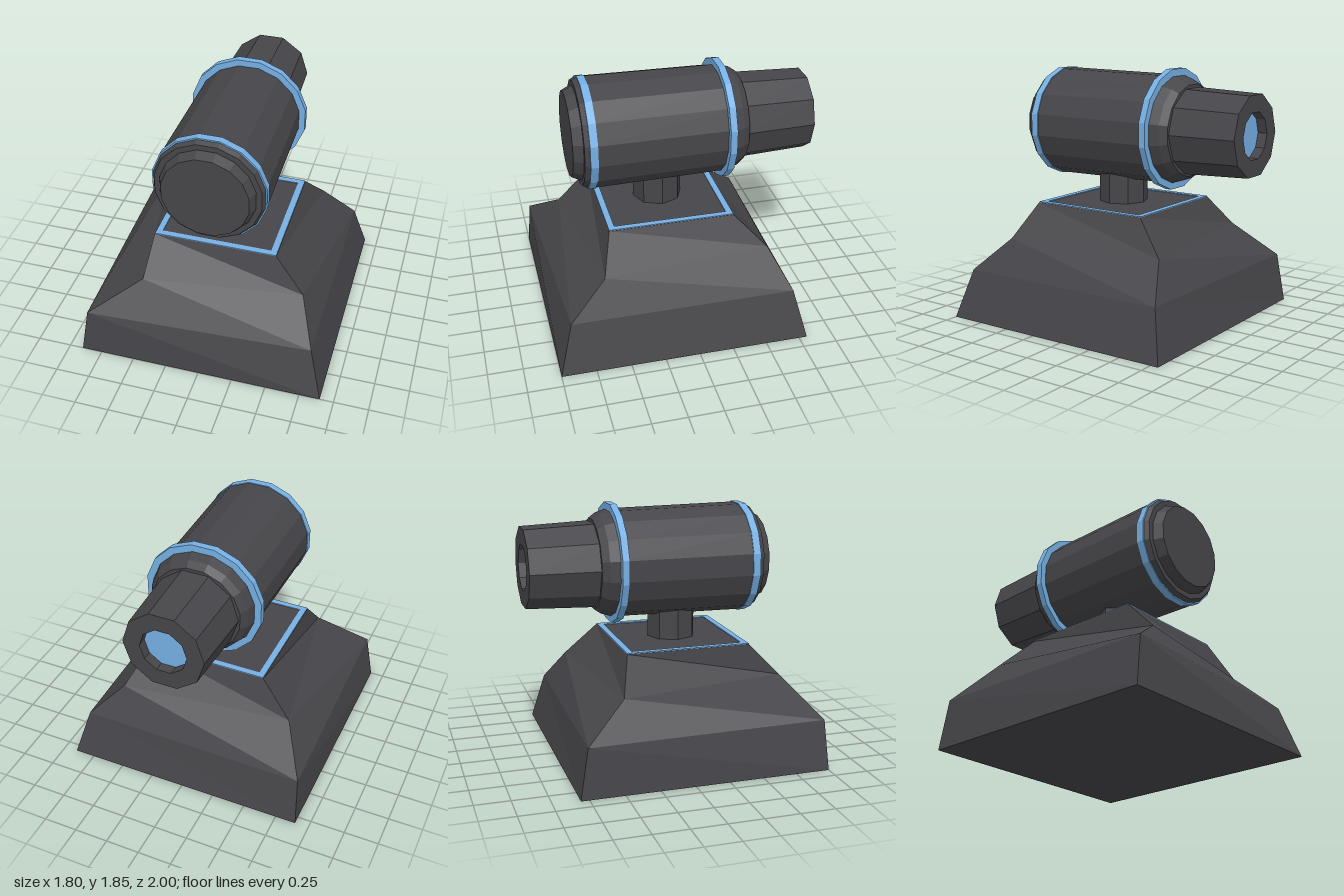
import * as THREE from 'three';

const dark = new THREE.MeshStandardMaterial({ color: 0x46464a, flatShading: true });
const blue = new THREE.MeshStandardMaterial({ color: 0x76b0e4, flatShading: true });
const AXIS_Y = 1.418;

function addMesh(group, name, geometry, material, x = 0, y = 0, z = 0) {
  const mesh = new THREE.Mesh(geometry, material);
  mesh.name = name;
  mesh.position.set(x, y, z);
  group.add(mesh);
  return mesh;
}

// Turned part lying along z; profile is [radius, z] from back to front
function turned(profile, sides, phase = 0) {
  const points = profile.map(([r, z]) => new THREE.Vector2(r, z));
  return new THREE.LatheGeometry(points, sides, phase).rotateX(Math.PI / 2);
}

// Solid through four-cornered rings, listed bottom to top.
// Corners of each ring: front left, front right, back right, back left (as seen in x)
function loft(levels) {
  const pos = [];
  const tri = (...corners) => corners.forEach((c) => pos.push(...c));
  const rings = levels.map(({ y, corners }) => corners.map(([x, z]) => [x, y, z]));
  for (let i = 0; i < rings.length - 1; i++) {
    for (let k = 0; k < 4; k++) {
      const n = (k + 1) % 4;
      const a = rings[i][k], b = rings[i][n], c = rings[i + 1][n], d = rings[i + 1][k];
      tri(a, b, d);
      tri(b, c, d);
    }
  }
  const [b0, b1, b2, b3] = rings[0];
  const [t0, t1, t2, t3] = rings[rings.length - 1];
  tri(b0, b2, b1);
  tri(b0, b3, b2);
  tri(t0, t1, t2);
  tri(t0, t2, t3);
  const geometry = new THREE.BufferGeometry();
  geometry.setAttribute('position', new THREE.Float32BufferAttribute(pos, 3));
  geometry.computeVertexNormals();
  return geometry;
}

export function createModel() {
  const model = new THREE.Group();
  model.name = 'barrelOnPedestal';

  // Uneven, rock-like pedestal
  addMesh(model, 'pedestal', loft([
    { y: 0, corners: [[-0.9, 1], [0.9, 1], [0.9, -0.81], [-0.9, -0.81]] },
    { y: 0.36, corners: [[-0.84, 0.98], [0.8, 0.9], [0.8, -0.72], [-0.88, -0.75]] },
    { y: 0.61, corners: [[-0.47, 0.78], [0.67, 0.63], [0.56, -0.59], [-0.69, -0.45]] },
    { y: 0.85, corners: [[-0.45, 0.55], [0.45, 0.55], [0.45, -0.36], [-0.45, -0.36]] },
  ]), dark);

  // Thin coloured frame on the pedestal's top edge
  const frame = new THREE.Group();
  frame.name = 'topFrame';
  for (const s of [-1, 1]) {
    addMesh(frame, 'frameSide', new THREE.BoxGeometry(0.045, 0.012, 0.91), blue, s * 0.425, 0.85, 0.095);
    addMesh(frame, 'frameEnd', new THREE.BoxGeometry(0.805, 0.012, 0.045), blue, 0, 0.85, 0.095 + s * 0.4325);
  }
  model.add(frame);

  // Octagonal stem
  addMesh(model, 'stem', new THREE.CylinderGeometry(0.18, 0.18, 0.25, 8), dark, 0, 0.965, 0.1);

  // Barrel with a chamfered shoulder at the back and a stepped cap at the front
  const half = Math.PI / 16;
  addMesh(model, 'barrel', turned([
    [0, -0.5], [0.33, -0.5], [0.365, -0.45], [0.39, -0.37], [0.403, 0.64],
    [0.38, 0.685], [0.34, 0.685], [0.34, 0.69], [0.31, 0.755], [0, 0.755],
  ], 16, half), dark, 0, AXIS_Y);

  // Coloured band near the front and raised collar near the back
  addMesh(model, 'frontBand', turned([
    [0.395, 0.595], [0.408, 0.595], [0.408, 0.65], [0.395, 0.65],
  ], 16, half), blue, 0, AXIS_Y);
  addMesh(model, 'rearCollar', turned([
    [0.37, -0.38], [0.437, -0.38], [0.437, -0.33], [0.37, -0.33],
  ], 16, half), blue, 0, AXIS_Y + 0.002);

  // Rear tube with a recessed opening
  addMesh(model, 'rearTube', turned([
    [0.17, -0.9], [0.17, -1], [0.295, -1], [0.315, -0.49],
  ], 10, Math.PI / 10), dark, 0, AXIS_Y);
  addMesh(model, 'rearLens', turned([[0, -0.93], [0.172, -0.93]], 10, Math.PI / 10), blue, 0, AXIS_Y);

  return model;
}
